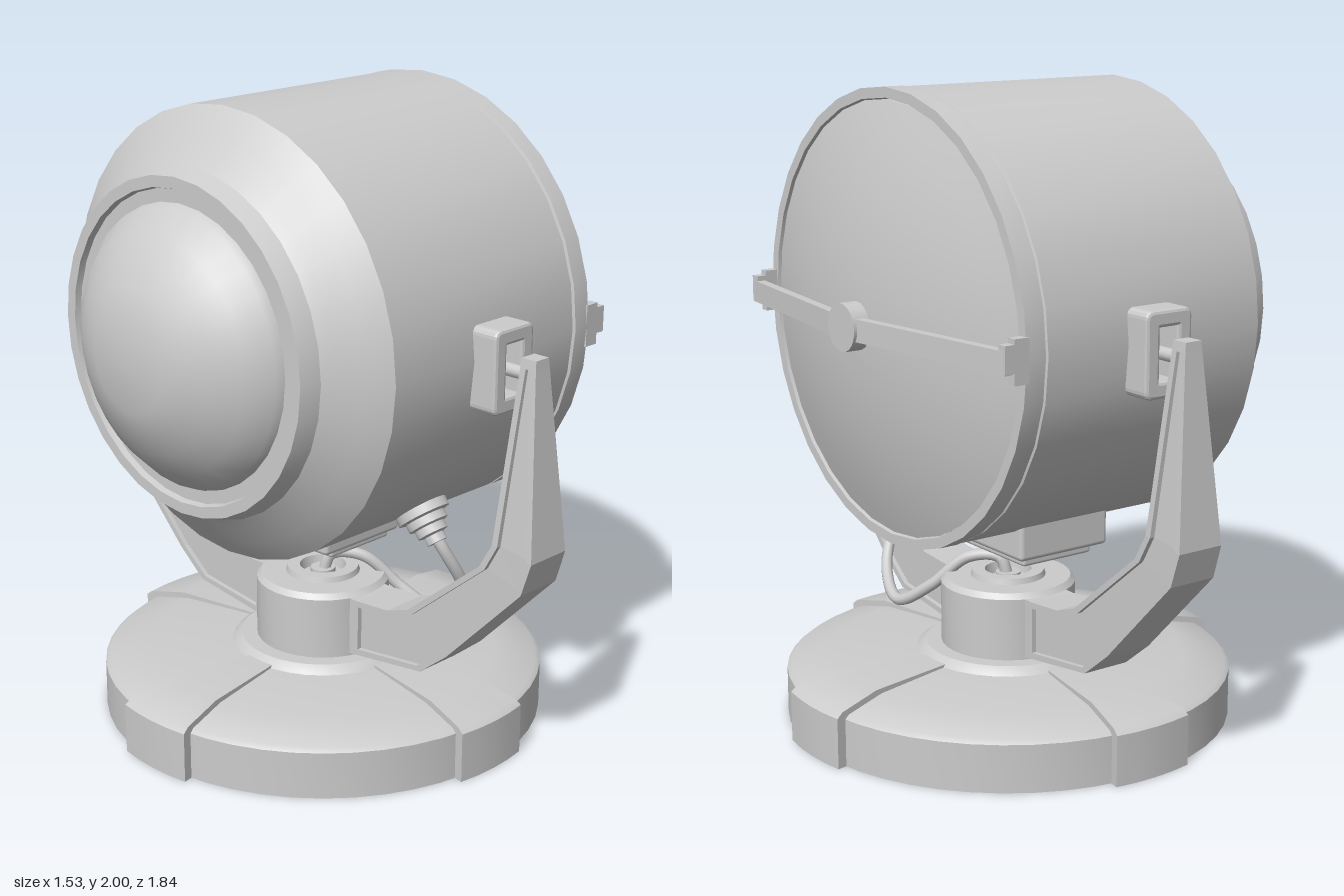
import * as THREE from 'three';
import { toCreasedNormals } from 'three/addons/utils/BufferGeometryUtils.js';
import { RoundedBoxGeometry } from 'three/addons/geometries/RoundedBoxGeometry.js';

const grey = new THREE.MeshStandardMaterial({ color: 0xcccccc });
const greyDouble = new THREE.MeshStandardMaterial({ color: 0xcccccc, side: THREE.DoubleSide });
const CX = 0.02; // x of the stand's axis
const CY = 1.31; // height of the lamp's axis

function add(parent, name, geometry, x = 0, y = 0, z = 0, material = grey) {
  const mesh = new THREE.Mesh(geometry, material);
  mesh.name = name;
  mesh.position.set(x, y, z);
  parent.add(mesh);
  return mesh;
}

// Turned part from [radius, height] pairs
function turned(points, segments = 32, start = 0, sweep = Math.PI * 2) {
  const pts = points.map(([r, h]) => new THREE.Vector2(r, h));
  return toCreasedNormals(new THREE.LatheGeometry(pts, segments, start, sweep), 0.5);
}

// Tapered, bent arm with recessed side panels, lofted from I-shaped sections
function armGeometry() {
  // outer z, outer y, inner z, inner y, half width, recess depth
  const stations = [
    [0.87, 1.34, 0.817, 1.34, 0.028, 0],
    [0.872, 1.31, 0.815, 1.31, 0.031, 0],
    [0.872, 1.31, 0.815, 1.31, 0.031, 0.012],
    [0.918, 0.75, 0.77, 0.77, 0.078, 0.016],
    [0.885, 0.645, 0.726, 0.69, 0.08, 0.016],
    [0.605, 0.355, 0.445, 0.46, 0.08, 0.016],
    [0.5, 0.27, 0.36, 0.43, 0.08, 0.016],
    [0.235, 0.235, 0.235, 0.42, 0.08, 0.016],
    [0.235, 0.235, 0.235, 0.42, 0.08, 0],
    [0.19, 0.23, 0.19, 0.42, 0.08, 0],
  ];
  const pos = [], index = [], n = 12;
  for (const [oz, oy, iz, iy, w, d] of stations) {
    const b = 0.02 / Math.hypot(oz - iz, oy - iy), v = w - d;
    const loop = [[0, -w], [0, w], [b, w], [b, v], [1 - b, v], [1 - b, w],
      [1, w], [1, -w], [1 - b, -w], [1 - b, -v], [b, -v], [b, -w]];
    for (const [t, x] of loop) pos.push(x, oy + (iy - oy) * t, oz + (iz - oz) * t);
  }
  for (let s = 0; s < stations.length - 1; s++) {
    for (let i = 0; i < n; i++) {
      const j = (i + 1) % n, a = s * n + i, b = s * n + j, c = b + n, d = a + n;
      index.push(a, d, c, a, c, b);
    }
  }
  const last = (stations.length - 1) * n;
  for (const [a, b, c, d] of [[0, 1, 2, 11], [3, 4, 9, 10], [5, 6, 7, 8]]) {
    index.push(a, b, c, a, c, d);
    index.push(last + a, last + c, last + b, last + a, last + d, last + c);
  }
  const g = new THREE.BufferGeometry();
  g.setAttribute('position', new THREE.Float32BufferAttribute(pos, 3));
  g.setIndex(index);
  const flat = g.toNonIndexed();
  flat.computeVertexNormals();
  return flat;
}

function roundedRect(path, x0, y0, x1, y1, r) {
  path.moveTo(x0 + r, y0);
  path.lineTo(x1 - r, y0).quadraticCurveTo(x1, y0, x1, y0 + r);
  path.lineTo(x1, y1 - r).quadraticCurveTo(x1, y1, x1 - r, y1);
  path.lineTo(x0 + r, y1).quadraticCurveTo(x0, y1, x0, y1 - r);
  path.lineTo(x0, y0 + r).quadraticCurveTo(x0, y0, x0 + r, y0);
  return path;
}

// Open frame that holds the pivot on the side of the drum
function pivotFrameGeometry() {
  const shape = roundedRect(new THREE.Shape(), -0.073, 1.17, 0.073, 1.405, 0.015);
  shape.holes.push(roundedRect(new THREE.Path(), -0.043, 1.2, 0.043, 1.375, 0.008));
  return new THREE.ExtrudeGeometry(shape, {
    depth: 0.1, bevelSize: 0.01, bevelThickness: 0.01, bevelSegments: 2, curveSegments: 4,
  });
}

function buildBase(root) {
  const base = new THREE.Group();
  base.name = 'base';
  base.position.x = CX;
  root.add(base);
  add(base, 'baseDisc', turned([[0, 0], [0.71, 0], [0.71, 0.15], [0.695, 0.162],
    [0.56, 0.19], [0.25, 0.2]], 48));

  // Four raised ribs that widen toward the rim
  const rib = [[0.25, 0], [0.74, 0], [0.74, 0.16], [0.72, 0.176], [0.58, 0.206], [0.25, 0.207]];
  const half = 0.186;
  const ribShape = new THREE.Shape(rib.map(([r, h]) => new THREE.Vector2(r, h)));
  for (let i = 0; i < 4; i++) {
    const mid = i * Math.PI / 2;
    const group = new THREE.Group();
    group.name = 'baseRib' + (i + 1);
    base.add(group);
    add(group, 'ribTop', turned(rib, 4, mid - half, 2 * half), 0, 0, 0, greyDouble);
    for (const side of [-1, 1]) {
      const cap = new THREE.ShapeGeometry(ribShape).rotateY(mid + side * half - Math.PI / 2);
      add(group, 'ribSide', cap, 0, 0, 0, greyDouble);
    }
  }

  add(base, 'columnFlange', turned([[0.3, 0.19], [0.29, 0.205], [0.265, 0.222], [0.2, 0.222]]));
  add(base, 'column', turned([[0.215, 0.2], [0.215, 0.42], [0.2, 0.437], [0.12, 0.437],
    [0.115, 0.455], [0.075, 0.455], [0.07, 0.42], [0, 0.42]]));
  add(base, 'cableSocket', turned([[0.04, 0.41], [0.04, 0.445], [0, 0.445]], 16));
}

function buildLamp(root) {
  const lamp = new THREE.Group();
  lamp.name = 'lamp';
  lamp.position.y = CY;
  root.add(lamp);

  // Drum with domed back and stepped shoulder
  add(lamp, 'drum', turned([[0, -0.77], [0.15, -0.765], [0.22, -0.738], [0.29, -0.7],
    [0.36, -0.65], [0.42, -0.585], [0.43, -0.56], [0.47, -0.56], [0.475, -0.58], [0.51, -0.58],
    [0.53, -0.52], [0.565, -0.49], [0.62, -0.45], [0.69, -0.39], [0.69, 0.385], [0.683, 0.388],
    [0.683, 0.395], [0.692, 0.398], [0.692, 0.46], [0.66, 0.46], [0.655, 0.43]]).rotateZ(-Math.PI / 2));

  // Bulging lens
  const lens = [];
  for (let i = 0; i <= 8; i++) {
    const t = 1 - i / 8;
    lens.push([0.656 * t, 0.45 + 0.118 * (1 - t * t)]);
  }
  add(lamp, 'lens', turned(lens).rotateZ(-Math.PI / 2));

  // Bar across the lens with central knob
  for (const s of [-1, 1]) {
    add(lamp, 'lensBar', new THREE.BoxGeometry(0.03, 0.068, 0.65), 0.56, 0, s * 0.365).rotation.y = -s * 0.132;
    add(lamp, 'barClip', new THREE.BoxGeometry(0.05, 0.13, 0.03), 0.476, 0, s * 0.677);
    add(lamp, 'barClipEnd', new THREE.BoxGeometry(0.05, 0.08, 0.03), 0.508, 0.01, s * 0.677);
  }
  add(lamp, 'lensKnob', new THREE.CylinderGeometry(0.073, 0.073, 0.055, 20).rotateZ(-Math.PI / 2), 0.597);

  // Stepped box under the drum
  add(lamp, 'underBox', new RoundedBoxGeometry(0.335, 0.16, 0.477, 2, 0.015), CX, -0.65, -0.058);
  add(lamp, 'underBoxPlate', new RoundedBoxGeometry(0.26, 0.06, 0.43, 2, 0.01), CX + 0.01, -0.725, -0.058);
}

function buildCable(root) {
  // Stepped gland pointing out of the lower drum
  const direction = new THREE.Vector3(0, -0.79, 0.61).normalize();
  const gland = add(root, 'cableGland', turned([[0.085, -0.06], [0.085, 0.025], [0.065, 0.03],
    [0.065, 0.055], [0.05, 0.06], [0.05, 0.085], [0.032, 0.09], [0.032, 0.115], [0, 0.115]], 20),
  CX, CY - 0.79 * 0.69, 0.61 * 0.69);
  gland.quaternion.setFromUnitVectors(new THREE.Vector3(0, 1, 0), direction);

  const path = new THREE.CatmullRomCurve3([
    [0.02, 0.7, 0.475], [0.04, 0.64, 0.505], [0.1, 0.53, 0.522], [0.19, 0.38, 0.455], [0.235, 0.305, 0.32],
    [0.19, 0.38, 0.19], [0.11, 0.485, 0.095], [0.04, 0.49, 0.02], [0.02, 0.42, 0],
  ].map((p) => new THREE.Vector3(...p)));
  add(root, 'cable', new THREE.TubeGeometry(path, 64, 0.019, 10));
}

export function createModel() {
  const root = new THREE.Group();
  root.name = 'searchlight';
  buildBase(root);
  buildLamp(root);
  buildCable(root);

  // Yoke arms, pivots and frames on both sides
  for (const [name, turn] of [['frontYoke', 0], ['backYoke', Math.PI]]) {
    const yoke = new THREE.Group();
    yoke.name = name;
    yoke.position.x = CX;
    yoke.rotation.y = turn;
    root.add(yoke);
    add(yoke, 'arm', armGeometry());
    add(yoke, 'pivotFrame', pivotFrameGeometry(), 0, 0, 0.66);
    add(yoke, 'pivotPin', new THREE.CylinderGeometry(0.02, 0.02, 0.17, 12).rotateX(Math.PI / 2), 0, 1.285, 0.76);
  }
  return root;
}
